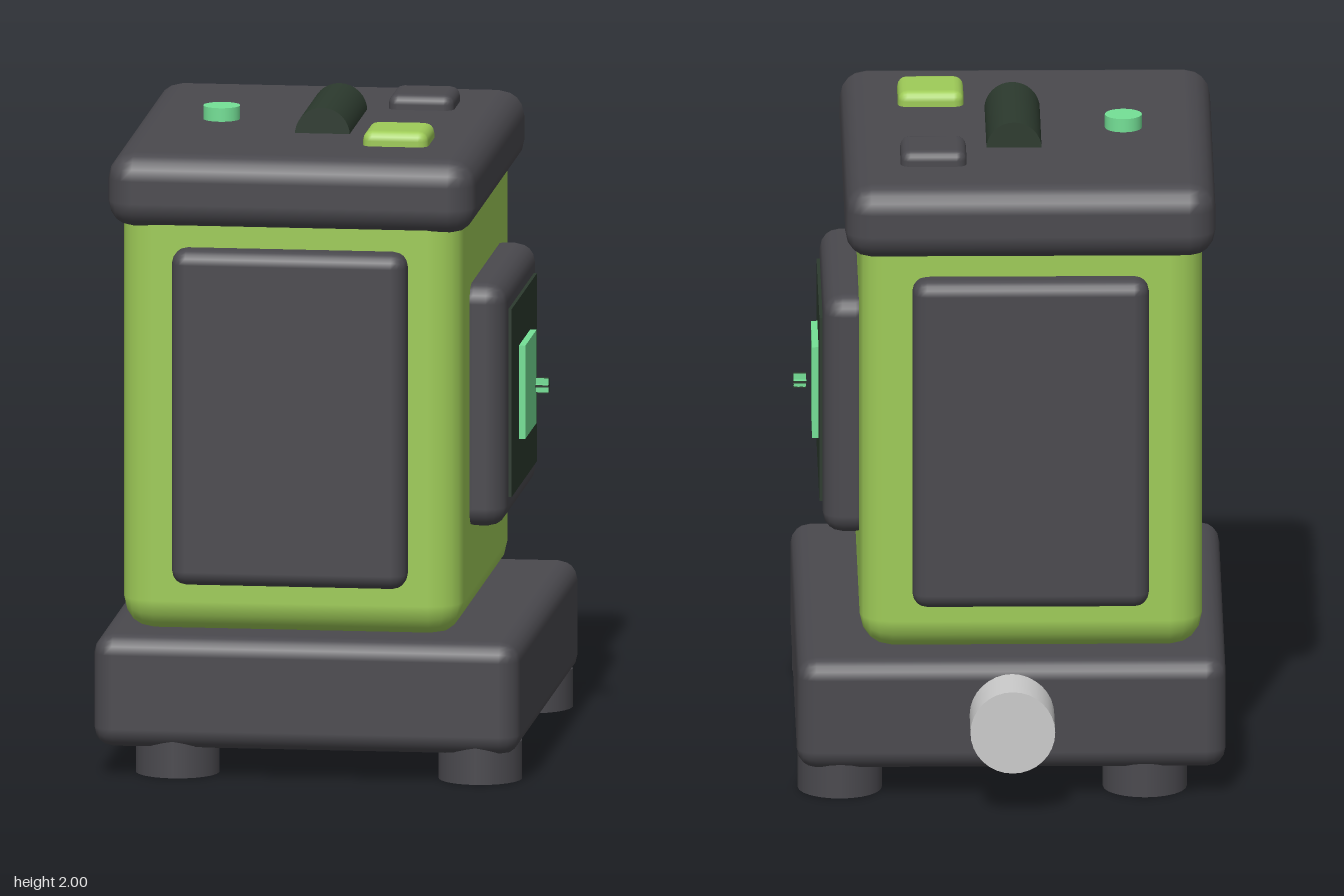
import * as THREE from 'three';
import { RoundedBoxGeometry } from 'three/addons/geometries/RoundedBoxGeometry.js';

const mat = (color) => new THREE.MeshStandardMaterial({ color });

export function createModel() {
  const model = new THREE.Group();
  const dark = mat(0x4a494e), lime = mat(0x9fcc58), mint = mat(0x74e096);
  const glass = mat(0x2c3a2e), grey = mat(0xcccccc);

  const add = (name, geometry, material, x, y, z) => {
    const mesh = new THREE.Mesh(geometry, material);
    mesh.name = name;
    mesh.position.set(x, y, z);
    model.add(mesh);
    return mesh;
  };

  // Box from its limits on each axis; r rounds the edges
  const box = (name, material, [x0, x1], [y0, y1], [z0, z1], r = 0) => {
    const size = [x1 - x0, y1 - y0, z1 - z0];
    const geometry = r ? new RoundedBoxGeometry(...size, 2, r) : new THREE.BoxGeometry(...size);
    return add(name, geometry, material, (x0 + x1) / 2, (y0 + y1) / 2, (z0 + z1) / 2);
  };

  // Housing
  box('base', dark, [-0.66, 0.655], [0.09, 0.44], [-0.68, 0.87], 0.06);
  box('body', lime, [-0.59, 0.46], [0.43, 1.85], [-0.545, 0.74], 0.1);
  box('lid', dark, [-0.63, 0.505], [1.69, 1.92], [-0.59, 0.78], 0.08);

  // Front and back panels
  box('frontPanel', dark, [-0.425, 0.3], [0.59, 1.635], [0.7, 0.82], 0.045);
  box('backPanel', dark, [-0.425, 0.3], [0.59, 1.635], [-0.63, -0.51], 0.045);

  // Feet
  for (const x of [-0.413, 0.522])
    for (const z of [-0.533, 0.728])
      add('foot', new THREE.CylinderGeometry(0.129, 0.129, 0.12, 24), dark, x, 0.06, z);

  // Side screen
  box('screenBezel', dark, [0.41, 0.57], [0.735, 1.492], [-0.31, 0.505], 0.06);
  box('screenGlass', glass, [0.55, 0.58], [0.82, 1.405], [-0.22, 0.42]);
  box('screenDisplay', mint, [0.575, 0.6], [0.97, 1.26], [-0.045, 0.24]);

  // Small cross marker: two crossed plates with dark rims
  const cy = 1.113, cz = 0.097, h = 0.022, t = 0.003, span = [0.616, 0.655];
  box('markerPlate', mint, span, [cy - h, cy + h], [cz - t, cz + t]);
  box('markerPlate', mint, span, [cy - t, cy + t], [cz - h, cz + h]);
  for (const s of [-1, 1]) {
    const e = s * h;
    box('markerRim', glass, span, [cy + e - t, cy + e + t], [cz - t, cz + t]);
    box('markerRim', glass, span, [cy - t, cy + t], [cz + e - t, cz + e + t]);
  }
  box('markerRim', glass, [0.653, 0.656], [cy - h, cy + h], [cz - t, cz + t]);
  box('markerRim', glass, [0.653, 0.656], [cy - t, cy + t], [cz - h, cz + h]);

  // Top controls
  add('topRoller', new THREE.CylinderGeometry(0.085, 0.085, 0.437, 32), glass, -0.018, 1.915, 0.093)
    .rotation.x = Math.PI / 2;
  add('indicatorLight', new THREE.CylinderGeometry(0.057, 0.057, 0.08, 24), mint, -0.356, 1.922, 0.09);
  box('darkButton', dark, [0.13, 0.332], [1.88, 1.966], [-0.33, -0.126], 0.03);
  box('limeButton', lime, [0.13, 0.332], [1.88, 1.966], [0.314, 0.518], 0.03);

  // Rear connector
  add('rearConnector', new THREE.CylinderGeometry(0.13, 0.13, 0.25, 32), grey, -0.004, 0.27, -0.747)
    .rotation.x = Math.PI / 2;

  return model;
}
